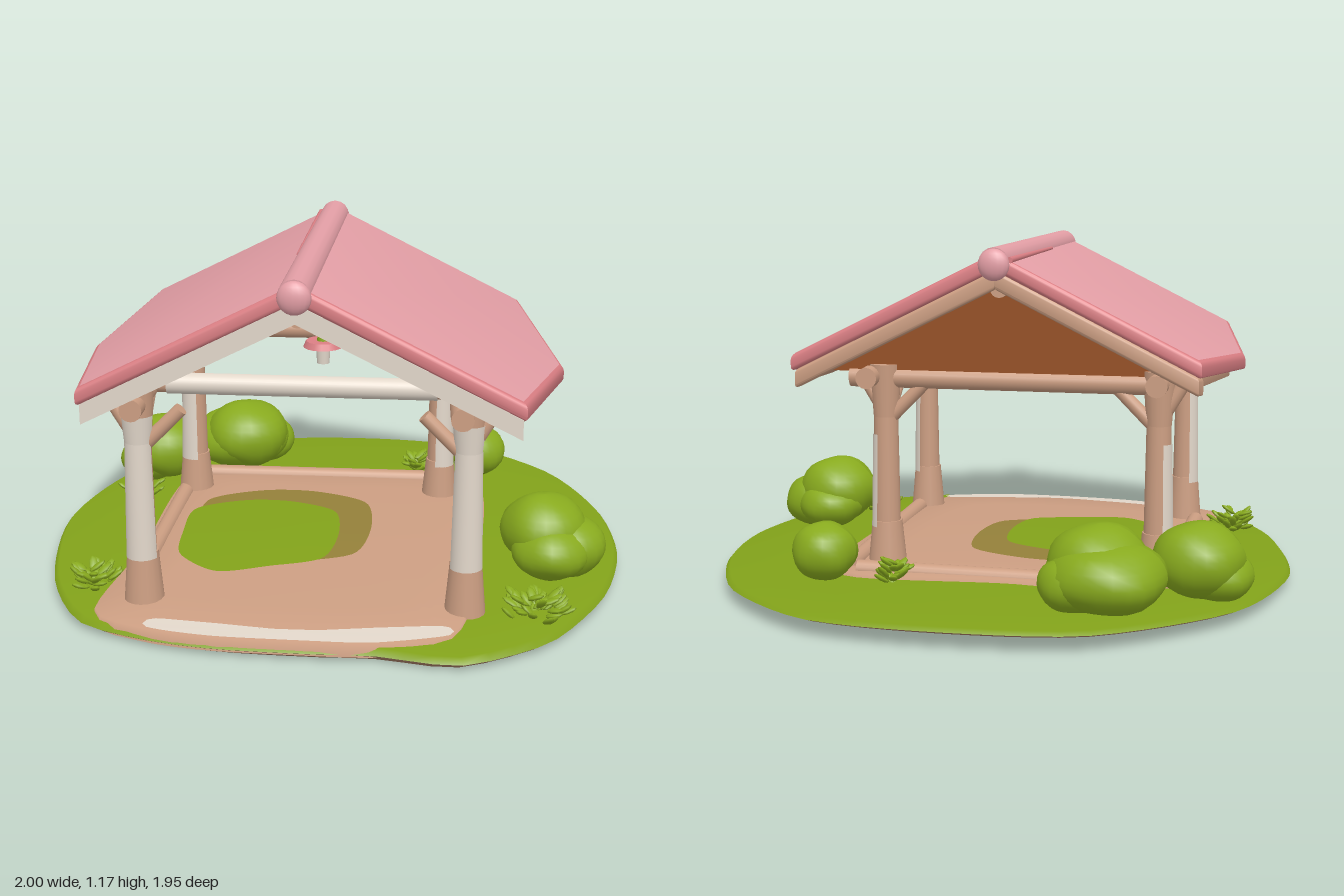
import * as THREE from 'three';
import { toCreasedNormals } from 'three/addons/utils/BufferGeometryUtils.js';

const material = (name, color) => {
  const m = new THREE.MeshStandardMaterial({ color });
  m.name = name;
  return m;
};

export function createModel() {
  const model = new THREE.Group();
  model.name = 'gardenPavilion';
  const grass = material('grass green', 0x82a21a);
  const leaf = material('leaf green', 0x88aa1e);
  const pink = material('roof pink', 0xe49fa6);
  const coral = material('coral edge', 0xdb7f84);
  const tan = material('tan wood', 0xcc9e82);
  const white = material('pale paint', 0xe2d7ca);
  const brown = material('brown boards', 0x964f22);
  const earth = material('brown earth', 0xab8067);
  const olive = material('olive moss', 0x94803a);

  const add = (name, geometry, mat, parent = model) => {
    const mesh = new THREE.Mesh(geometry, mat);
    mesh.name = name;
    parent.add(mesh);
    return mesh;
  };
  const V = (p) => new THREE.Vector3(...p);
  const UP = new THREE.Vector3(0, 1, 0);

  // Round bar from p to q; an arc [start, length] makes a thin painted shell instead
  const rod = (name, p, q, r0, r1, mat, parent, arc) => {
    const a = V(p), b = V(q), dir = b.clone().sub(a);
    const mesh = add(name, new THREE.CylinderGeometry(r1, r0, dir.length(), 16, 1, !!arc, ...(arc || [])), mat, parent);
    mesh.position.copy(a).add(b).multiplyScalar(0.5);
    mesh.quaternion.setFromUnitVectors(UP, dir.normalize());
    return mesh;
  };

  // Concentric loops of a smoothed plan outline; each level is [scale, height rule]
  const loft = (outline, levels, n = 72) => {
    const curve = new THREE.CatmullRomCurve3(outline.map(([x, z]) => new THREE.Vector3(x, 0, z)), true, 'catmullrom', 0.4);
    const pts = curve.getSpacedPoints(n).slice(0, n);
    const c = pts.reduce((s, p) => s.add(p), new THREE.Vector3()).divideScalar(n);
    const pos = [], idx = [];
    levels.forEach(([s, y], i) => pts.forEach((p, j) => {
      const x = c.x + (p.x - c.x) * s, z = c.z + (p.z - c.z) * s;
      pos.push(x, y(x, z), z);
      if (i === 0) return;
      const k = (j + 1) % n, a = (i - 1) * n + j, b = (i - 1) * n + k, d = i * n + j, e = i * n + k;
      idx.push(a, d, b, b, d, e);
    }));
    const g = new THREE.BufferGeometry();
    g.setAttribute('position', new THREE.Float32BufferAttribute(pos, 3));
    g.setIndex(idx);
    g.computeVertexNormals();
    return g;
  };

  // Gently domed, tilted ground
  const top = (x, z) => 0.055 - 0.013 * z + 0.03 * Math.max(0, 1 - x * x - z * z);
  const bottom = (x, z) => Math.max(0, 0.02 - 0.025 * z);
  const middle = (x, z) => (top(x, z) + bottom(x, z)) / 2;
  const above = (h) => (x, z) => top(x, z) + h;
  const island = [[-1, -0.05], [-0.85, -0.55], [-0.45, -0.91], [0, -0.98], [0.45, -0.93], [0.79, -0.65], [0.96, -0.27],
    [1, 0.1], [0.93, 0.45], [0.75, 0.78], [0.52, 0.95], [0.4, 0.97], [0.2, 0.935], [0, 0.94], [-0.3, 0.93], [-0.55, 0.88], [-0.77, 0.77], [-0.93, 0.45]];
  add('groundUnderside', loft(island, [[0, bottom], [0.5, bottom], [0.97, bottom], [1, middle]]), earth);
  add('lawn', loft(island, [[1, middle], [0.985, top], [0.8, top], [0.6, top], [0.4, top], [0.2, top], [0, top]]), grass);

  const patio = [[-0.6, -0.47], [-0.1, -0.51], [0.48, -0.49], [0.53, 0.1], [0.5, 0.6], [0.43, 0.86], [0.2, 0.93],
    [0, 0.938], [-0.3, 0.928], [-0.54, 0.88], [-0.72, 0.76], [-0.66, 0.3]];
  add('patio', loft(patio, [[1, above(-0.03)], [0.99, above(0.012)], [0.7, above(0.012)], [0.4, above(0.012)], [0, above(0.012)]]), tan);
  const blob = (cx, cz, rx, rz) => Array.from({ length: 10 }, (_, i) => {
    const a = i * Math.PI / 5, w = 1 + 0.1 * Math.sin(i * 2.3);
    return [cx + rx * w * Math.cos(a), cz + rz * w * Math.sin(a)];
  });
  const plate = (name, outline, h, mat) => add(name, loft(outline, [[1, above(h)], [0.6, above(h)], [0, above(h)]]), mat);
  plate('mossRim', blob(-0.2, 0.09, 0.33, 0.36), 0.016, olive);
  plate('grassPatch', blob(-0.27, 0.17, 0.29, 0.32), 0.02, grass);
  plate('paintedThreshold', [[-0.5, 0.82], [-0.2, 0.865], [0.1, 0.86], [0.4, 0.8], [0.425, 0.855], [0.2, 0.924], [0, 0.932], [-0.3, 0.922], [-0.52, 0.876]], 0.018, white);

  // Low curbs round three sides of the patio
  [[[-0.6, -0.42], [-0.62, 0.6]], [[0.46, -0.42], [0.49, 0.6]], [[-0.55, -0.45], [0.42, -0.45]]].forEach(([p, q]) =>
    rod('patioCurb', [p[0], top(...p) + 0.012, p[1]], [q[0], top(...q) + 0.012, q[1]], 0.03, 0.03, tan));

  // Wooden posts with branching braces, painted on their outward faces
  [[-0.57, 0.66], [0.47, 0.66], [-0.57, -0.3], [0.36, -0.3]].forEach(([x, z]) => {
    const g = new THREE.Group();
    g.name = 'post';
    model.add(g);
    const y0 = top(x, z), front = z > 0, sx = x < 0 ? 1 : -1, sz = front ? -1 : 1;
    rod('postBase', [x, y0, z], [x, 0.23, z], 0.066, 0.051, tan, g);
    rod('postShaft', [x, 0.22, z], [x, 0.6, z], 0.046, 0.041, tan, g);
    rod('postHead', [x, 0.59, z], [x, 0.77, z], 0.042, 0.055, tan, g);
    const span = Math.PI * (front ? 1.25 : 0.95), mid = -sx * (front ? 0.75 : 1.2);
    rod('postPaint', [x, 0.21, z], [x, front ? 0.6 : 0.53, z], 0.053, 0.045, white, g, [mid - span / 2, span]);
    if (front) rod('postHeadPaint', [x, 0.6, z], [x, 0.69, z], 0.045, 0.053, white, g, [-1.3, 2.6]);
    rod('crossBrace', [x, 0.57, z], [x + sx * 0.14, 0.71, z], 0.024, 0.022, tan, g);
    rod('sideBrace', [x, 0.58, z], [x, 0.71, z + sz * 0.19], 0.026, 0.022, tan, g);
    rod('outerBrace', [x, 0.6, z], [x - sx * 0.08, 0.73, z], 0.024, 0.022, tan, g);
  });

  // Beams
  rod('leftPlate', [0.45, 0.73, 0.76], [0.4, 0.73, -0.4], 0.036, 0.036, tan);
  rod('rightPlate', [-0.57, 0.73, 0.76], [-0.57, 0.73, -0.4], 0.036, 0.036, tan);
  rod('backBeam', [-0.6, 0.725, -0.3], [0.48, 0.725, -0.3], 0.037, 0.037, tan);
  rod('frontBeam', [-0.5, 0.795, 0.66], [0.4, 0.795, 0.66], 0.03, 0.03, tan);
  rod('frontBeamPaint', [-0.47, 0.795, 0.66], [0.37, 0.795, 0.66], 0.034, 0.034, white, model, [-Math.PI / 2, Math.PI]);
  rod('ridgeBeam', [-0.05, 1.035, 0.76], [-0.05, 1.035, -0.38], 0.03, 0.03, tan);

  // Sloping slab from a plan of [distance from ridge, z]
  const slab = (name, s, plan, hTop, t, b, mats) => {
    const shape = new THREE.Shape(plan.map(([d, z]) => new THREE.Vector2(s * d, -z)));
    const g = new THREE.ExtrudeGeometry(shape, {
      depth: t - 2 * b, bevelEnabled: b > 0, bevelThickness: b, bevelSize: b, bevelOffset: -b, bevelSegments: 3,
    });
    g.rotateX(-Math.PI / 2);
    const p = g.attributes.position;
    for (let i = 0; i < p.count; i++) {
      p.setY(i, p.getY(i) + 1.155 + hTop - t + b - 0.5 * s * p.getX(i));
      p.setX(i, p.getX(i) - 0.05);
    }
    g.computeVertexNormals();
    add(name, toCreasedNormals(g, 0.7), mats);
  };
  [-1, 1].forEach((s) => {
    const end = s < 0 ? 0.67 : 0.69, mid = s < 0 ? 0.77 : 0.83;
    const plan = (i, m) => [[0, -0.46 + i], [end - i, -0.46 + i], [mid - m, 0.18], [end - i, 0.84 - i], [0, 0.84 - i]];
    slab('roofSlope', s, plan(0, 0), 0, 0.056, 0.016, [pink, coral]);
    slab('roofSoffit', s, plan(0.025, 0.055), -0.05, 0.06, 0.012, tan);
    slab('frontRafter', s, [[0, 0.76], [end - 0.02, 0.76], [end - 0.02, 0.82], [0, 0.82]], -0.058, 0.06, 0.01, tan);
    slab('frontRakePaint', s, [[0, 0.819], [end - 0.01, 0.819], [end - 0.01, 0.828], [0, 0.828]], -0.056, 0.064, 0, white);
    slab('backRake', s, [[0, -0.45], [end - 0.01, -0.45], [end, -0.4], [0, -0.4]], -0.056, 0.062, 0.012, tan);
    slab('ceilingBoards', s, [[0.02, -0.3], [0.45, -0.3], [0.45, 0.6], [0.02, 0.6]], -0.108, 0.009, 0, brown);
  });

  // Ridge roll with softly rounded ends and a coral seam
  rod('ridgeCap', [-0.05, 1.124, -0.46], [-0.05, 1.124, 0.84], 0.05, 0.05, pink);
  [-0.46, 0.84].forEach((z) => {
    const m = add('ridgeEnd', new THREE.SphereGeometry(0.052, 16, 12), pink);
    m.position.set(-0.05, 1.118, z);
    m.scale.z = 0.55;
  });
  rod('ridgeSeam', [-0.1, 1.132, -0.455], [-0.1, 1.132, 0.3], 0.011, 0.006, coral);

  // Back gable infill
  const gable = new THREE.Shape([new THREE.Vector2(-0.64, 0.745), new THREE.Vector2(0.54, 0.745), new THREE.Vector2(-0.05, 1.05)]);
  add('backGable', new THREE.ExtrudeGeometry(gable, { depth: 0.02, bevelEnabled: false }), brown).position.z = -0.325;

  // Hanging lantern
  const lamp = new THREE.Group();
  lamp.name = 'lantern';
  model.add(lamp);
  rod('lanternCord', [-0.05, 0.88, 0], [-0.05, 1.03, 0], 0.005, 0.005, brown, lamp);
  rod('lanternTop', [-0.05, 0.76, 0], [-0.05, 0.92, 0], 0.022, 0.004, leaf, lamp);
  rod('lanternShade', [-0.05, 0.74, 0], [-0.05, 0.762, 0], 0.07, 0.06, coral, lamp);
  rod('lanternBulb', [-0.05, 0.68, 0], [-0.05, 0.745, 0], 0.022, 0.026, white, lamp);

  // Lumpy rounded bushes: x, y, z, radius, height factor
  [[-0.42, 0.2, -0.62, 0.165, 0.78], [-0.45, 0.17, -0.66, 0.195, 0.6], [-0.36, 0.15, -0.7, 0.12, 0.75],
    [-0.72, 0.19, -0.47, 0.15, 0.82], [-0.78, 0.14, -0.46, 0.12, 0.7], [0.5, 0.175, -0.56, 0.108, 0.9],
    [0.73, 0.2, 0.29, 0.145, 0.85], [0.81, 0.15, 0.3, 0.13, 0.8], [0.75, 0.15, 0.36, 0.13, 0.72], [0.74, 0.15, 0.23, 0.12, 0.7],
  ].forEach(([x, y, z, r, k], n) => {
    const g = new THREE.SphereGeometry(1, 24, 16), p = g.attributes.position, v = new THREE.Vector3();
    for (let i = 0; i < p.count; i++) {
      v.fromBufferAttribute(p, i);
      v.multiplyScalar(1 + 0.035 * Math.sin(4 * v.x + n) * Math.cos(3 * v.y + 4 * v.z + n));
      p.setXYZ(i, v.x, v.y, v.z);
    }
    g.computeVertexNormals();
    const m = add('bush', g, leaf);
    m.position.set(x, y, z);
    m.scale.set(r, r * k, r);
  });

  // Leafy tufts: x, z, radius, height, leaf count
  let seed = 7;
  const rnd = () => (seed = (seed * 16807) % 2147483647) / 2147483647;
  const blade = new THREE.SphereGeometry(1, 7, 5);
  [[0.69, 0.66, 0.11, 0.09, 46], [-0.76, 0.57, 0.08, 0.09, 34], [-0.77, -0.22, 0.07, 0.09, 26], [0.27, -0.55, 0.05, 0.09, 22]].forEach(([x, z, r, h, n]) => {
    const g = new THREE.Group();
    g.name = 'leafTuft';
    model.add(g);
    for (let i = 0; i < n; i++) {
      const a = rnd() * Math.PI * 2, d = Math.sqrt(rnd()) * r;
      const m = add('leaf', blade, leaf, g);
      m.position.set(x + d * Math.cos(a), top(x, z) + 0.01 + rnd() * h * (1 - 0.6 * d / r), z + d * Math.sin(a));
      m.scale.set(0.016, 0.008, 0.032);
      m.rotation.set(-0.3 - rnd() * 0.5, Math.PI / 2 - a, 0, 'YXZ');
    }
  });
  return model;
}
